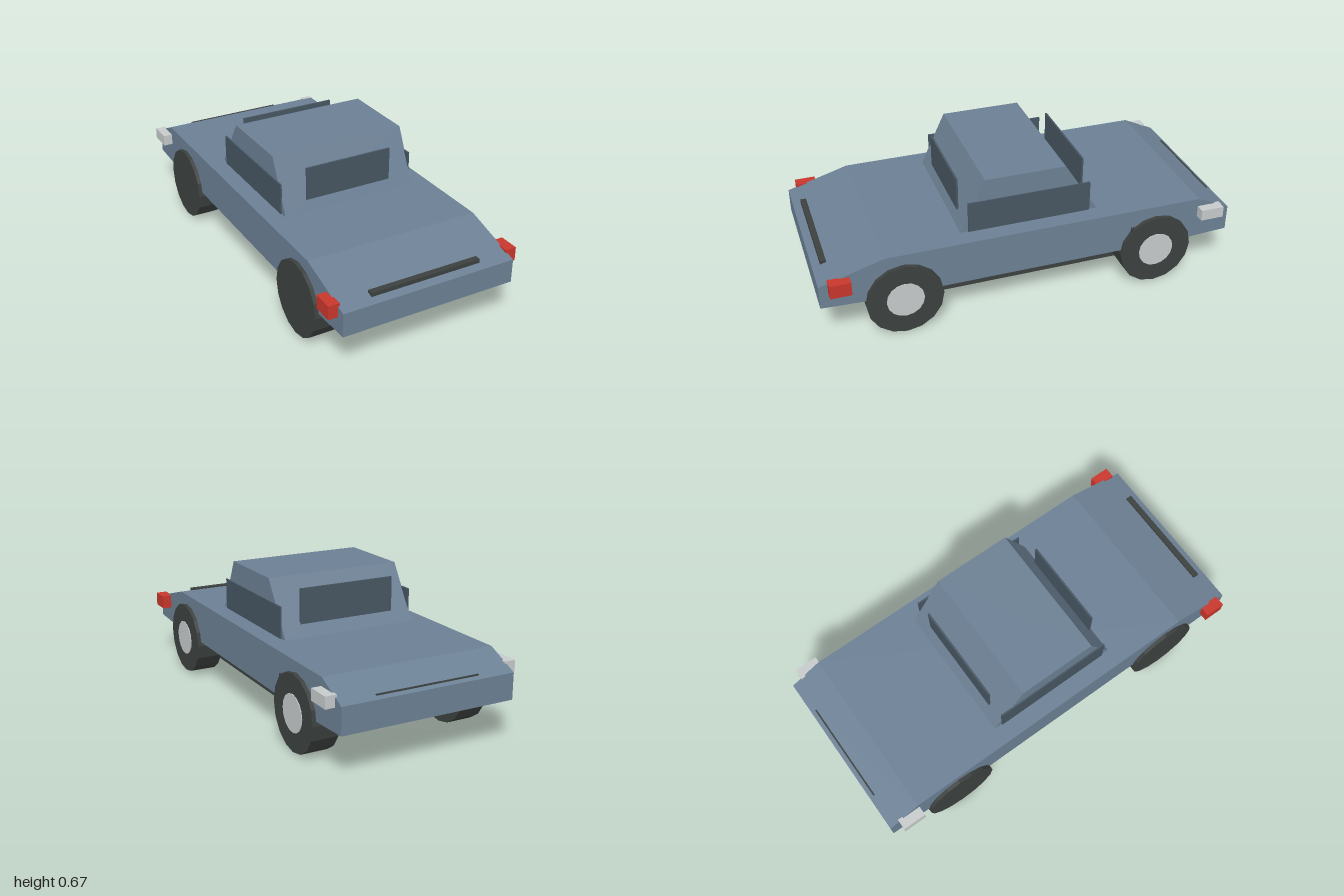
import * as THREE from 'three';

const mat = (name, color) => Object.assign(new THREE.MeshStandardMaterial({ color, flatShading: true }), { name });

export function createModel() {
  const paint = mat('blue grey paint', 0x6c8094);
  const glass = mat('dark glass', 0x475662);
  const rubber = mat('charcoal', 0x3c413f);
  const white = mat('pale grey', 0xc6cacb);
  const red = mat('lamp red', 0xc8372c);
  const car = new THREE.Group();
  car.name = 'car';

  const add = (name, geometry, material) => {
    const mesh = new THREE.Mesh(geometry, material);
    mesh.name = name;
    car.add(mesh);
    return mesh;
  };
  // box from its minimum and maximum corners
  const box = (name, material, [x0, y0, z0], [x1, y1, z1]) =>
    add(name, new THREE.BoxGeometry(x1 - x0, y1 - y0, z1 - z0), material)
      .position.set((x0 + x1) / 2, (y0 + y1) / 2, (z0 + z1) / 2);
  // side profile given as (z, y), extruded across the width
  const slab = (name, material, halfWidth, profile) => {
    const shape = new THREE.Shape(profile.map(([z, y]) => new THREE.Vector2(-z, y)));
    const g = new THREE.ExtrudeGeometry(shape, { depth: halfWidth * 2, bevelEnabled: false });
    g.translate(0, 0, -halfWidth).rotateY(Math.PI / 2);
    add(name, g, material);
  };

  // painted shell
  slab('body', paint, 0.428, [
    [1, 0.21], [0.8, 0.2], [-0.8, 0.2], [-1, 0.21], [-1, 0.335], [-0.84, 0.41], [0.7, 0.41], [1, 0.323],
  ]);
  slab('cabin', paint, 0.339, [[0.33, 0.405], [-0.345, 0.405], [-0.18, 0.665], [0.207, 0.665]]);

  // windows standing just off the cabin
  box('windshield', glass, [-0.22, 0.46, 0.3], [0.22, 0.62, 0.309]);
  box('rearWindow', glass, [-0.243, 0.455, -0.307], [0.243, 0.632, -0.298]);
  for (const s of [-1, 1]) {
    const x = s * 0.341;
    box('sideWindow', glass, [x - 0.004, 0.41, -0.303], [x + 0.004, 0.56, 0.29]);
  }

  // trim strips and underside plate
  box('hoodStrip', rubber, [-0.273, 0.328, 0.935], [0.273, 0.353, 0.963]);
  box('rearStrip', rubber, [-0.255, 0.33, -0.98], [0.255, 0.35, -0.972]);
  box('underPlate', rubber, [-0.316, 0.09, -0.7], [0.316, 0.13, 0.7]);
  box('fillerCap', rubber, [0.4, 0.29, -0.515], [0.445, 0.32, -0.487]);

  // corner lamps
  for (const s of [-1, 1]) {
    const [a, b] = s > 0 ? [0.42, 0.474] : [-0.474, -0.42];
    box('frontLamp', red, [a, 0.284, 0.86], [b, 0.35, 0.958]);
    box('rearLamp', white, [a, 0.315, -0.95], [b, 0.37, -0.835]);
  }

  // wheels, each with its hub on the same face
  for (const z of [0.62, -0.618]) for (const s of [-1, 1]) {
    const x = s * 0.381;
    add('wheel', new THREE.CylinderGeometry(0.18, 0.18, 0.131, 16).rotateZ(-Math.PI / 2), rubber)
      .position.set(x, 0.18, z);
    add('hub', new THREE.CylinderGeometry(0.088, 0.088, 0.02, 16).rotateZ(-Math.PI / 2), white)
      .position.set(x + 0.059, 0.18, z);
  }
  return car;
}
